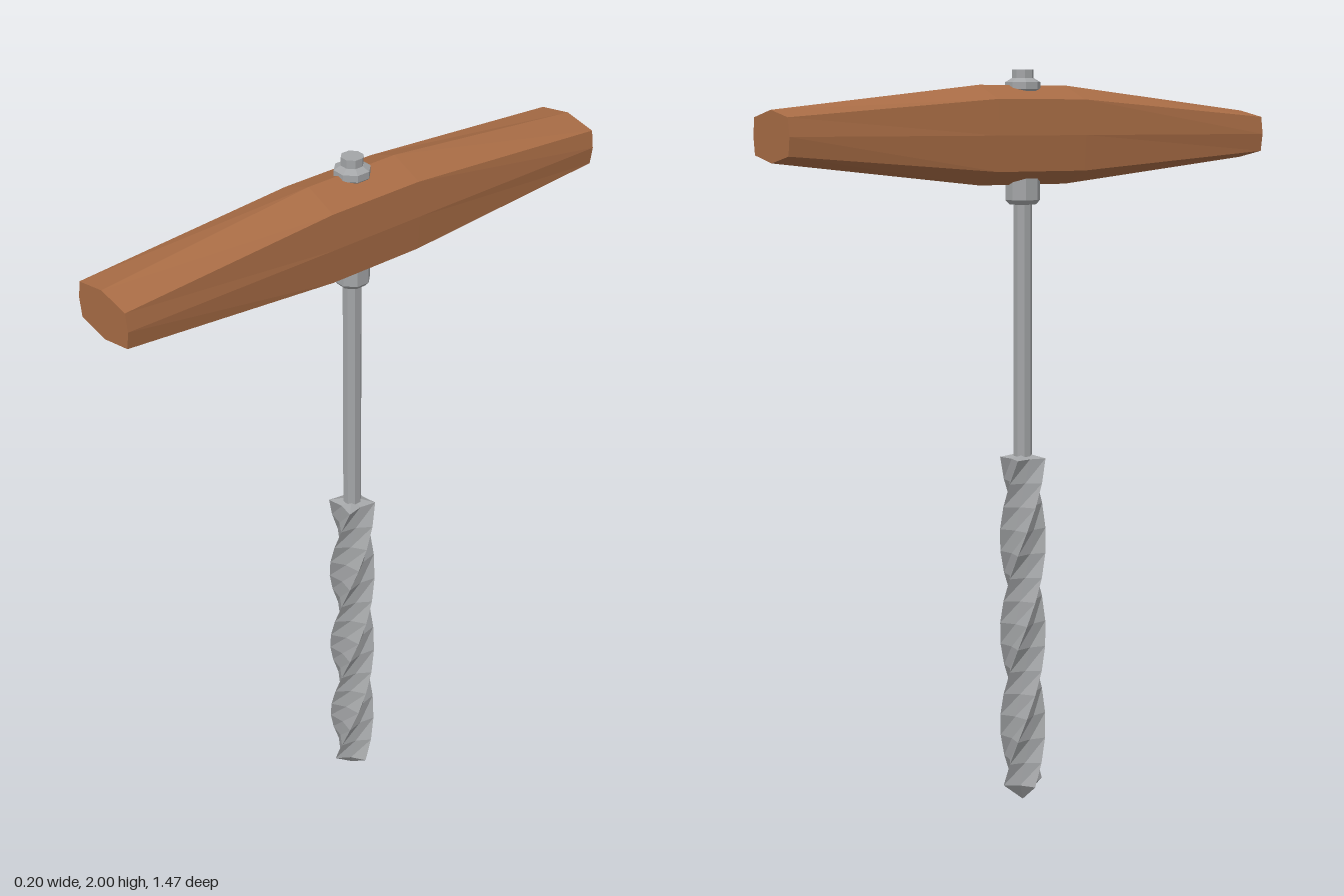
import * as THREE from 'three';

const wood = new THREE.MeshStandardMaterial({ color: 0xa86c45, flatShading: true });
wood.name = 'wood';
const steel = new THREE.MeshStandardMaterial({ color: 0xa3a5a7, flatShading: true });
steel.name = 'steel';

// Skin a list of rings (counter-clockwise about the path) and close both ends with a fan
function loft(rings, startTip, endTip) {
  const pos = [];
  const tri = (...pts) => pts.forEach((p) => pos.push(...p));
  const n = rings[0].length;
  const last = rings[rings.length - 1];
  for (let i = 0; i < n; i++) {
    const j = (i + 1) % n;
    for (let k = 0; k < rings.length - 1; k++) {
      const a = rings[k], b = rings[k + 1];
      tri(a[i], a[j], b[j]);
      tri(a[i], b[j], b[i]);
    }
    tri(startTip, rings[0][j], rings[0][i]);
    tri(endTip, last[i], last[j]);
  }
  const geometry = new THREE.BufferGeometry();
  geometry.setAttribute('position', new THREE.Float32BufferAttribute(pos, 3));
  geometry.computeVertexNormals();
  return geometry;
}

// Eight-sided turned part with flats facing the axes
function turned(name, profile) {
  const points = profile.map(([r, y]) => new THREE.Vector2(r, y));
  const mesh = new THREE.Mesh(new THREE.LatheGeometry(points, 8, Math.PI / 8), steel);
  mesh.name = name;
  return mesh;
}

// Handle: eight-point section, tall in the middle and tapering to the ends
function makeHandle() {
  const midY = 1.83, halfWidth = 0.1, cornerX = 0.093;
  const section = (z, peak, corner) => [
    [halfWidth, midY, z], [cornerX, midY + corner, z], [0, midY + peak, z], [-cornerX, midY + corner, z],
    [-halfWidth, midY, z], [-cornerX, midY - corner, z], [0, midY - peak, z], [cornerX, midY - corner, z],
  ];
  const rings = [
    section(-0.735, 0.065, 0.047),
    section(-0.135, 0.13, 0.093),
    section(0.135, 0.13, 0.093),
    section(0.735, 0.065, 0.047),
  ];
  const mesh = new THREE.Mesh(loft(rings, [0, midY, -0.735], [0, midY, 0.735]), wood);
  mesh.name = 'handle';
  return mesh;
}

// Drill bit: four-pointed star twisted upwards
function makeBit() {
  const steps = 14, bottom = 0.05, top = 0.965;
  const rings = [];
  for (let k = 0; k <= steps; k++) {
    const y = bottom + ((top - bottom) * k) / steps;
    const ring = [];
    for (let i = 0; i < 8; i++) {
      const r = i % 2 ? 0.036 : 0.063;
      const a = (k * Math.PI) / 8 + (i * Math.PI) / 4;
      ring.push([r * Math.sin(a), y, r * Math.cos(a)]);
    }
    rings.push(ring);
  }
  const mesh = new THREE.Mesh(loft(rings, [0, 0, 0], [0, 0.98, 0]), steel);
  mesh.name = 'drillBit';
  return mesh;
}

export function createModel() {
  const model = new THREE.Group();
  model.name = 'handAuger';
  model.add(
    makeHandle(),
    makeBit(),
    turned('shaft', [[0, 0.95], [0.025, 0.95], [0.025, 1.7], [0, 1.7]]),
    turned('lowerCollar', [[0, 1.648], [0.036, 1.648], [0.047, 1.66], [0.047, 1.72], [0, 1.72]]),
    // Nut on top of the handle with the shaft end poking through
    turned('topNut', [[0, 1.94], [0.036, 1.94], [0.047, 1.95], [0.047, 1.968], [0.03, 1.978], [0, 1.978]]),
    turned('shaftEnd', [[0, 1.96], [0.029, 1.96], [0.029, 2], [0, 2]]),
  );
  return model;
}
